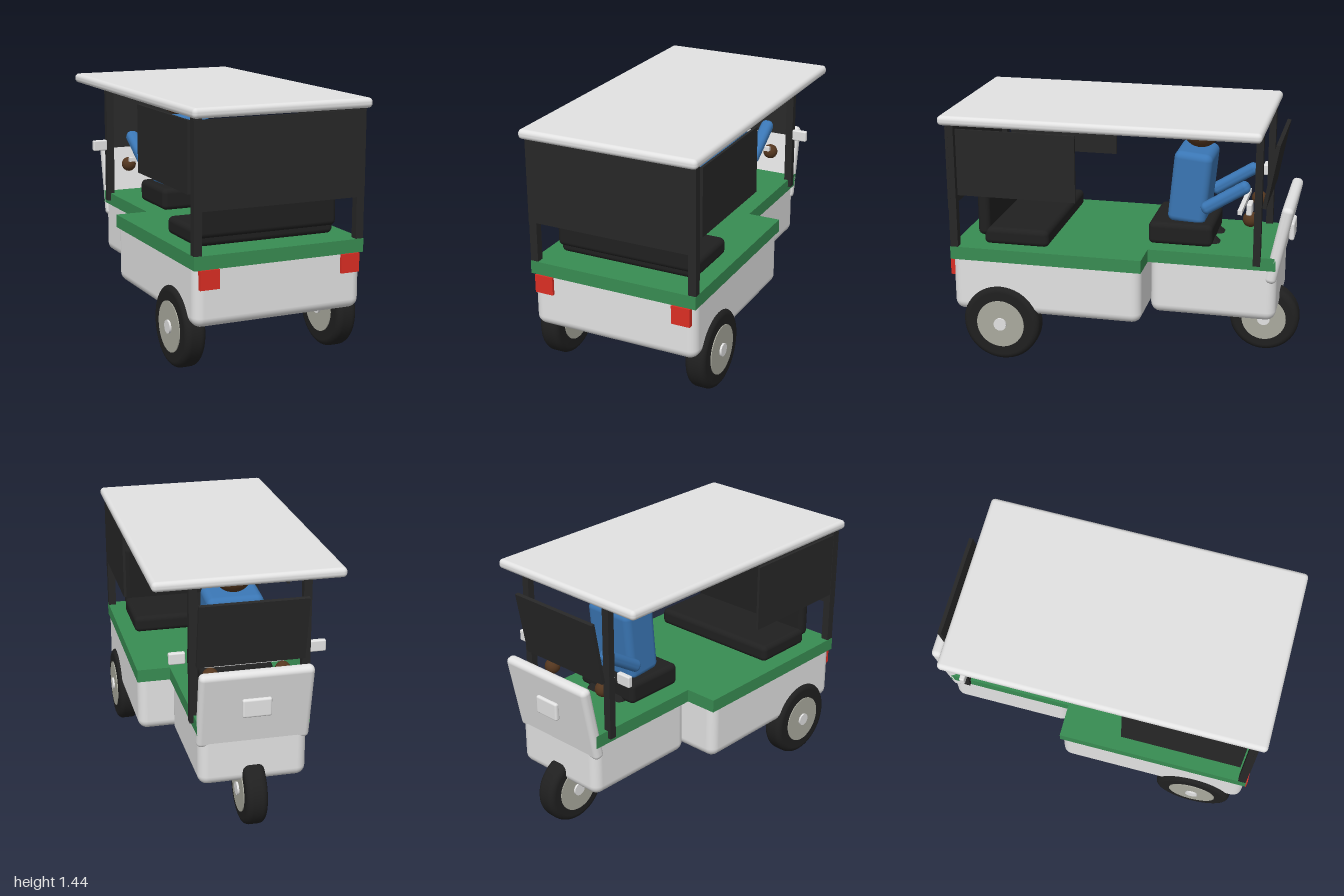
import * as THREE from 'three';
import { RoundedBoxGeometry } from 'three/addons/geometries/RoundedBoxGeometry.js';

const paint = (name, color) => {
  const m = new THREE.MeshStandardMaterial({ color });
  m.name = name;
  return m;
};

export function createModel() {
  const white = paint('whiteBody', 0xe2e2e2);
  const green = paint('greenFloor', 0x388c52);
  const black = paint('blackPanel', 0x272727);
  const rubber = paint('rubber', 0x202020);
  const steel = paint('wheelDisc', 0xaaaa9e);
  const red = paint('redLight', 0xdb2e24);
  const blue = paint('blueShirt', 0x3a76b4);
  const skin = paint('brownSkin', 0x55371f);

  const model = new THREE.Group();
  model.name = 'threeWheeler';

  const add = (name, geo, mat, [x, y, z], tilt = 0, parent = model) => {
    const m = new THREE.Mesh(geo, mat);
    m.name = name;
    m.position.set(x, y, z);
    m.rotation.x = tilt;
    parent.add(m);
    return m;
  };
  const box = (name, mat, size, pos, tilt) => add(name, new THREE.BoxGeometry(...size), mat, pos, tilt);
  const round = (name, mat, size, r, pos, tilt) =>
    add(name, new RoundedBoxGeometry(...size, 4, r), mat, pos, tilt);

  // Body tubs and floor
  round('rearBody', white, [0.99, 0.37, 1.1], 0.055, [0, 0.47, 0.405]);
  round('frontBody', white, [0.6, 0.37, 0.72], 0.055, [0, 0.47, -0.52]);
  box('rearFloor', green, [1, 0.075, 1.11], [0, 0.6375, 0.405]);
  box('frontFloor', green, [0.62, 0.075, 0.73], [0, 0.6375, -0.51]);

  // Roof and posts
  round('roof', white, [1.04, 0.055, 1.8], 0.024, [0, 1.4125, 0.1]);
  for (const s of [-1, 1]) {
    box('rearPost', black, [0.045, 0.74, 0.045], [s * 0.477, 1.02, 0.9345]);
    box('frontPost', black, [0.045, 0.76, 0.04], [s * 0.307, 1.01, -0.77]);
    box('sideCurtain', black, [0.015, 0.38, 0.68], [s * 0.5, 1.178, 0.557]);
    box('tailLight', red, [0.11, 0.105, 0.035], [s * 0.416, 0.548, 0.953]);
  }
  box('rearCurtain', black, [1, 0.47, 0.015], [0, 1.14, 0.952]);

  // Passenger bench
  round('benchCushion', rubber, [0.83, 0.1, 0.38], 0.03, [0, 0.724, 0.595]);
  round('benchBack', rubber, [0.83, 0.38, 0.07], 0.03, [0, 0.915, 0.785]);

  // Front shield, lamp and windscreen
  round('frontShield', white, [0.62, 0.46, 0.065], 0.028, [0, 0.745, -0.888], -0.2);
  round('headlamp', white, [0.16, 0.105, 0.03], 0.012, [0, 0.76, -0.937]);
  box('windscreen', black, [0.59, 0.37, 0.022], [0, 1.14, -0.832], -0.18);

  // Driver's seat and driver
  round('driverSeat', rubber, [0.42, 0.13, 0.37], 0.03, [0, 0.738, -0.315]);
  round('torso', blue, [0.32, 0.42, 0.22], 0.04, [0, 0.998, -0.357], -0.1);
  add('head', new THREE.SphereGeometry(0.11, 32, 20), skin, [0, 1.32, -0.397]);
  for (const s of [-1, 1]) {
    round('arm', blue, [0.075, 0.07, 0.31], 0.03, [s * 0.19, 0.975, -0.57], 0.56);
    add('hand', new THREE.SphereGeometry(0.044, 20, 14), skin, [s * 0.2, 0.862, -0.715]);
    round('leg', rubber, [0.1, 0.09, 0.2], 0.03, [s * 0.09, 0.67, -0.47], -0.75);
    round('mirror', white, [0.09, 0.065, 0.03], 0.008, [s * 0.385, 0.99, -0.732]);
  }
  box('handlebar', white, [0.44, 0.025, 0.025], [0, 0.9, -0.655]);

  // Wheel: rounded tyre, disc and hub, all turned about x
  const wheel = (name, x, y, z, r, discR) => {
    const g = new THREE.Group();
    g.name = name;
    const w = 0.06, c = 0.035;
    const profile = [new THREE.Vector2(0.1, -w)];
    for (let i = 0; i <= 6; i++) {
      const a = (i / 6) * Math.PI / 2;
      profile.push(new THREE.Vector2(r - c + c * Math.sin(a), -w + c - c * Math.cos(a)));
    }
    for (let i = 0; i <= 6; i++) {
      const a = (i / 6) * Math.PI / 2;
      profile.push(new THREE.Vector2(r - c + c * Math.cos(a), w - c + c * Math.sin(a)));
    }
    profile.push(new THREE.Vector2(0.1, w));
    add('tyre', new THREE.LatheGeometry(profile, 48), rubber, [0, 0, 0], 0, g);
    add('disc', new THREE.CylinderGeometry(discR, discR, 0.13, 40), steel, [0, 0, 0], 0, g);
    add('hub', new THREE.CylinderGeometry(0.037, 0.037, 0.152, 24), white, [0, 0, 0], 0, g);
    g.rotation.z = Math.PI / 2;
    g.position.set(x, y, z);
    model.add(g);
  };
  wheel('rearWheelLeft', 0.455, 0.229, 0.67, 0.225, 0.14);
  wheel('rearWheelRight', -0.455, 0.229, 0.67, 0.225, 0.14);
  wheel('frontWheel', 0, 0.207, -0.793, 0.203, 0.13);

  return model;
}
